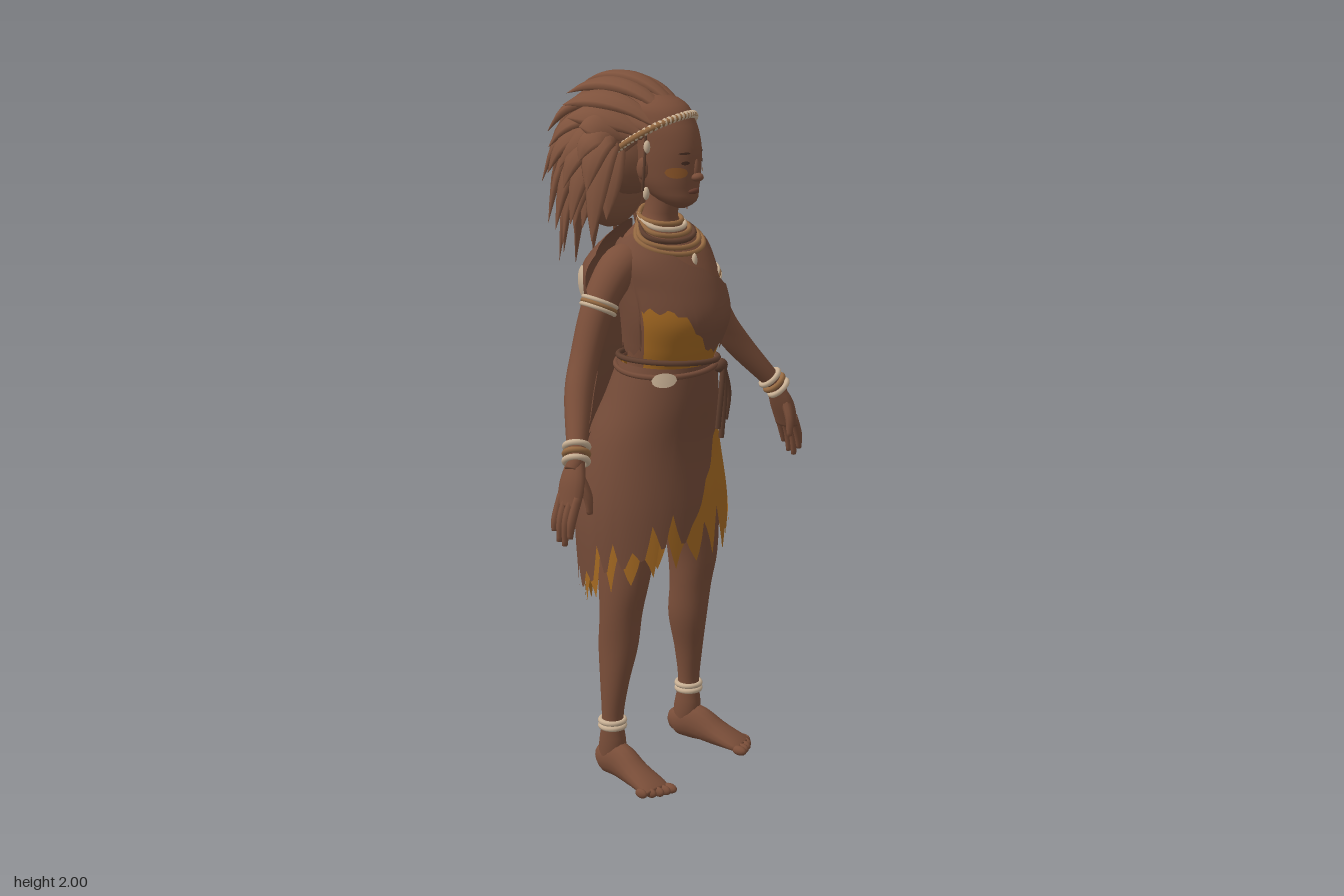
import * as THREE from 'three';

const mat = (name, color, side = THREE.FrontSide) => {
  const m = new THREE.MeshStandardMaterial({ color, side });
  m.name = name;
  return m;
};
const V = (x, y, z) => new THREE.Vector3(x, y, z);
const RAD = Math.PI / 180;
const sin = a => Math.sin(a * RAD), cos = a => Math.cos(a * RAD);

// Surface through rows of points, counter-clockwise around the direction of travel
function grid(rows, closed) {
  const n = rows[0].length, index = [];
  for (let i = 0; i < rows.length - 1; i++)
    for (let j = 0; j < (closed ? n : n - 1); j++) {
      const k = (j + 1) % n, a = i * n + j, b = i * n + k, c = a + n, d = b + n;
      index.push(a, b, c, b, d, c);
    }
  const g = new THREE.BufferGeometry().setFromPoints(rows.flat());
  g.setIndex(index);
  g.computeVertexNormals();
  return g;
}

// Smooth interpolation of rows [key, ...values]
function track(rows) {
  const n = rows[0].length - 1;
  const f = new THREE.CubicInterpolant(rows.map(r => r[0]), rows.flatMap(r => r.slice(1)), n, new Float32Array(n));
  return t => Array.from(f.evaluate(t));
}

// Point on a body of stacked ellipses [y, cx, cz, rx, rz]; angle 0 is front, 90 is left
const around = (body, a, y, out = 0) => {
  const [cx, cz, rx, rz] = body(y);
  return V(cx + (rx + out) * sin(a), y, cz + (rz + out) * cos(a));
};

// Skin or cloth following such a body, with edges given per angle
function wrap(body, lo, hi, { from = -180, to = 180, out = 0, rows = 24, step = 3 } = {}) {
  const closed = to - from === 360, cols = Math.round((to - from) / step), pts = [];
  const val = (f, a) => (typeof f === 'function' ? f(a) : f);
  for (let i = 0; i <= rows; i++) {
    pts.push([]);
    for (let j = 0; j < cols + (closed ? 0 : 1); j++) {
      const a = from + (to - from) * j / cols;
      pts[i].push(around(body, a, THREE.MathUtils.lerp(val(lo, a), val(hi, a), i / rows), out));
    }
  }
  return grid(pts, closed);
}

// Small oval plate lying on a body
const patch = (body, a, y, da, dy, out) => {
  const h = t => dy * Math.sqrt(Math.max(0, 1 - ((t - a) / da) ** 2));
  return wrap(body, t => y - h(t), t => y + h(t), { from: a - da, to: a + da, out, rows: 6, step: da / 6 });
};

// Closed tube through [x, y, z, halfWidth, halfHeight]
function sweep(pts, up, steps = 20, sides = 14) {
  const f = track(pts.map((p, i) => [i, ...p])), last = pts.length - 1, rows = [];
  const at = t => V(...f(t).slice(0, 3));
  for (let i = 0; i <= steps; i++) {
    const t = last * i / steps, p = at(t), [, , , w, h] = f(t);
    const T = at(Math.min(last, t + 0.05)).sub(at(Math.max(0, t - 0.05))).normalize();
    const side = up.clone().cross(T).normalize(), n = T.clone().cross(side);
    const ring = k => Array.from({ length: sides }, (_, j) => {
      const a = 2 * Math.PI * j / sides;
      return p.clone().addScaledVector(side, k * w * Math.cos(a)).addScaledVector(n, k * h * Math.sin(a));
    });
    if (i === 0) rows.push(ring(0));
    rows.push(ring(1));
    if (i === steps) rows.push(ring(0));
  }
  return grid(rows, true);
}

// Uneven torn edge
const teeth = (a, period, amp) => {
  const u = ((a / period) % 1 + 1) % 1;
  return amp * Math.abs(2 * u - 1) * (0.7 + 0.3 * Math.sin(a * 0.13));
};

export function createModel() {
  const model = new THREE.Group();
  const skin = mat('skin', 0x7a4e39), hair = mat('hair', 0x7e523c), eye = mat('eye', 0x4a2f23), lip = mat('lip', 0x6b3f30);
  const hide = mat('hide', 0x744b38, THREE.DoubleSide), ochre = mat('ochre', 0xa66a22, THREE.DoubleSide);
  const bone = mat('bone', 0xc9b195, THREE.DoubleSide), cord = mat('cord', 0x5f3f2f), bead = mat('bead', 0x966a42);
  const paint = mat('facePaint', 0x92592a);
  const add = (name, geo, m) => {
    const mesh = new THREE.Mesh(geo, m);
    mesh.name = name;
    model.add(mesh);
    return mesh;
  };
  const ball = (name, m, p, r) => {
    const b = add(name, new THREE.SphereGeometry(1, 18, 12), m);
    b.position.set(...p);
    b.scale.set(...r);
  };
  const band = (name, m, p, dir, r, tube) => {
    const b = add(name, new THREE.TorusGeometry(r, tube, 8, 28), m);
    b.position.copy(p);
    b.quaternion.setFromUnitVectors(V(0, 0, 1), dir.clone().normalize());
  };
  const rope = (name, m, pts, r, closed = false) =>
    add(name, new THREE.TubeGeometry(new THREE.CatmullRomCurve3(pts, closed), 60, r, 7, closed), m);
  const loop = (body, out, yAt) => Array.from({ length: 24 }, (_, i) => around(body, i * 15, yAt(i * 15), out));

  // Torso and neck
  const torso = track([[0.95, 0, 0.07, 0.17, 0.12], [1.08, 0, 0.085, 0.155, 0.125], [1.2, 0, 0.11, 0.12, 0.11],
    [1.27, 0, 0.125, 0.133, 0.122], [1.35, 0, 0.135, 0.148, 0.135], [1.44, 0, 0.115, 0.152, 0.125],
    [1.52, 0, 0.088, 0.15, 0.1], [1.565, 0, 0.073, 0.112, 0.075], [1.6, 0, 0.075, 0.058, 0.055],
    [1.64, 0, 0.085, 0.045, 0.047], [1.72, 0, 0.09, 0.043, 0.045]]);
  add('torso', wrap(torso, 0.95, 1.72, { rows: 50, step: 6 }), skin);

  // Head and face
  const head = track([[1.645, 0, 0.15, 0.012, 0.015], [1.66, 0, 0.142, 0.04, 0.05], [1.7, 0, 0.115, 0.066, 0.085],
    [1.76, 0, 0.1, 0.079, 0.105], [1.82, 0, 0.093, 0.083, 0.11], [1.88, 0, 0.083, 0.08, 0.098],
    [1.93, 0, 0.068, 0.06, 0.072], [1.955, 0, 0.06, 0.01, 0.012]]);
  add('head', wrap(head, 1.645, 1.955, { rows: 30, step: 6 }), skin);
  ball('noseBridge', skin, [0, 1.758, 0.2], [0.01, 0.03, 0.012]);
  ball('nose', skin, [0, 1.735, 0.207], [0.018, 0.012, 0.018]);
  ball('mouth', lip, [0, 1.696, 0.192], [0.023, 0.01, 0.014]);
  for (const s of [1, -1]) {
    add('eye', patch(head, 26 * s, 1.776, 8, 0.005, 0.002), eye);
    add('brow', patch(head, 27 * s, 1.802, 11, 0.003, 0.002), eye);
    add('cheekPaint', patch(head, 42 * s, 1.75, 20, 0.015, 0.003), paint);
    ball('ear', skin, [0.082 * s, 1.755, 0.085], [0.012, 0.03, 0.018]);
    ball('earring', bone, [0.085 * s, 1.69, 0.1], [0.009, 0.018, 0.009]);
    rope('hairString', cord, [V(0.1 * s, 1.85, 0.11), V(0.105 * s, 1.77, 0.11), V(0.1 * s, 1.7, 0.1)], 0.004);
    ball('hairCharm', bone, [0.1 * s, 1.82, 0.115], [0.009, 0.018, 0.009]);
  }

  // Hair: an inner mass under fans of leaf-shaped locks
  ball('hairMass', hair, [0, 1.8, -0.03], [0.125, 0.14, 0.13]);
  ball('hairMassLow', hair, [0, 1.67, -0.09], [0.11, 0.11, 0.07]);
  // [count, half span, tip y, tip rx, tip rz, control y, control reach]
  const layers = [[9, 82, 1.935, 0.18, 0.18, 2.04, 0.1], [10, 90, 1.83, 0.21, 0.235, 2.04, 0.5],
    [11, 98, 1.71, 0.222, 0.25, 2.03, 0.65], [12, 100, 1.585, 0.21, 0.235, 2.01, 0.8],
    [9, 78, 1.45, 0.19, 0.195, 1.97, 0.9], [8, 104, 1.6, 0.15, 0.17, 1.94, 0.8]];
  layers.forEach(([n, span, y, rx, rz, cy, reach], k) => {
    for (let i = 0; i < n; i++) {
      const a = span * (2 * i / (n - 1) - 1), s = sin(a), c = cos(a);
      const jag = 0.02 * Math.sin(i * 2.4 + k * 1.7);
      const root = V(0.1 * s, 1.91 - 0.08 * s * s, 0.05 + 0.09 * c);
      const tip = V(rx * s, y - 0.07 * s * s * (k < 2) + 0.16 * (1 - c) * (k === 4) + jag * (k > 0), -0.03 - rz * c);
      const ctrl = V(tip.x * 0.86, cy - 0.16 * s * s, tip.z * reach);
      const curve = new THREE.QuadraticBezierCurve3(root, ctrl, tip);
      const up = curve.getPoint(0.6).sub(V(0, 1.76, 0)).normalize();
      const pts = [0.3, 0.65, 0.95, 1.05, 0.8, 0.03].map((w, j) =>
        [...curve.getPoint(j / 5).toArray(), 0.037 * w, 0.015 * w]);
      add('hairLock', sweep(pts, up, 14, 8), hair);
    }
  });

  // Beaded headband
  const brow = new THREE.CatmullRomCurve3([V(-0.125, 1.8, 0.02), V(-0.112, 1.845, 0.085), V(-0.065, 1.885, 0.148),
    V(0, 1.9, 0.175), V(0.065, 1.885, 0.148), V(0.112, 1.845, 0.085), V(0.125, 1.8, 0.02)]);
  add('headband', new THREE.TubeGeometry(brow, 40, 0.009, 8), bead);
  for (let i = 0; i <= 36; i++) ball('headbandBead', bone, brow.getPoint(i / 36).toArray(), [0.007, 0.011, 0.01]);

  // Necklaces lying on the neck and chest
  [bead, bone, bead, cord, bead, bead].forEach((m, k) =>
    rope('necklace', m, loop(torso, 0.008, a => 1.61 - 0.006 * k - (0.01 + 0.009 * k) * cos(a)), 0.007, true));
  ball('pendant', bone, [0, 1.505, 0.2], [0.008, 0.02, 0.008]);

  for (const s of [1, -1]) {
    // Arm and hand
    const arm = [[0.08, 1.505, 0.07, 0.045, 0.05], [0.15, 1.495, 0.062, 0.053, 0.057], [0.228, 1.4, 0.053, 0.046, 0.047],
      [0.295, 1.27, 0.06, 0.04, 0.041], [0.352, 1.18, 0.085, 0.038, 0.038], [0.44, 1.055, 0.152, 0.025, 0.026],
      [0.462, 1.015, 0.16, 0.022, 0.022]];
    add('arm', sweep(arm.map(([x, ...r]) => [x * s, ...r]), V(0, 0, 1), 40, 20), skin);
    const out = V(1, 0, 0);
    add('palm', sweep([[0.445 * s, 1.04, 0.155, 0.026, 0.021], [0.468 * s, 0.985, 0.163, 0.04, 0.023],
      [0.49 * s, 0.92, 0.165, 0.038, 0.016]], out), skin);
    for (let i = 0; i < 4; i++) {
      const z = 0.193 - i * 0.0185, end = [0.845, 0.822, 0.83, 0.856][i];
      add('finger', sweep([[0.483 * s, 0.95, z, 0.011, 0.013], [0.508 * s, 0.89, z, 0.011, 0.013],
        [0.515 * s, end, z, 0.007, 0.008]], out, 10, 8), skin);
    }
    add('thumb', sweep([[0.462 * s, 1.0, 0.18, 0.016, 0.016], [0.453 * s, 0.95, 0.202, 0.013, 0.013],
      [0.448 * s, 0.9, 0.205, 0.008, 0.008]], out, 10, 8), skin);

    // Leg and foot
    const leg = track([[0.03, 0.17, 0.04, 0.03, 0.035], [0.1, 0.172, 0.05, 0.034, 0.042], [0.17, 0.175, 0.052, 0.031, 0.031],
      [0.28, 0.17, 0.055, 0.037, 0.042], [0.4, 0.158, 0.06, 0.05, 0.06], [0.5, 0.158, 0.07, 0.056, 0.063],
      [0.6, 0.155, 0.078, 0.062, 0.078], [0.75, 0.135, 0.08, 0.08, 0.09], [0.98, 0.1, 0.075, 0.085, 0.11]]
      .map(([y, x, ...r]) => [y, x * s, ...r]));
    add('leg', wrap(leg, 0.03, 0.98, { rows: 40, step: 12 }), skin);
    add('foot', sweep([[0.165 * s, 0.035, -0.005, 0.015, 0.022], [0.168 * s, 0.045, 0.02, 0.032, 0.044],
      [0.175 * s, 0.056, 0.08, 0.036, 0.055], [0.186 * s, 0.036, 0.15, 0.043, 0.036],
      [0.196 * s, 0.02, 0.215, 0.048, 0.02], [0.2 * s, 0.014, 0.24, 0.042, 0.012]], V(0, 1, 0)), skin);
    for (let i = 0; i < 5; i++)
      ball('toe', skin, [(0.163 + i * 0.0195) * s, 0.014, 0.252 - i * i * 0.0025], [i ? 0.01 : 0.014, 0.014, i ? 0.02 : 0.024]);

    // Bands on arm, wrist and ankle
    const upper = V(0.065 * s, -0.13, -0.01), fore = V(0.085 * s, -0.125, 0.067);
    [[-0.009, bone], [0, bead], [0.009, bone]].forEach(([d, m]) =>
      band('armBand', m, V((0.228 - d * 0.5) * s, 1.4 + d, 0.053), upper, 0.047, 0.006));
    [[-0.02, bone], [-0.004, bead], [0.012, bone]].forEach(([d, m]) =>
      band('wristBand', m, V((0.438 - d * 0.65) * s, 1.058 + d, 0.151 - d * 0.5), fore, 0.031, 0.0085));
    [0.157, 0.173].forEach(y => band('ankleBand', bone, V(0.175 * s, y, 0.052), V(0, 1, 0), 0.034, 0.008));
  }

  // Wrapped top, hung from the right shoulder, over an ochre lining
  add('topLining', wrap(torso, 1.2, a => 1.4 - 0.05 * sin(a), { from: -85, to: 60, out: 0.006 }), ochre);
  add('wrappedTop', wrap(torso, a => 1.25 + (a > -85 ? 0.13 * THREE.MathUtils.clamp(-(a + 2) / 45, 0, 1) : 0) + teeth(a, 18, 0.025),
    a => 1.48 - 0.09 * sin(a) + teeth(a, 24, 0.012), { out: 0.012, rows: 30 }), hide);

  // Skirt layers with torn hems
  const skirt = track([[0.45, 0, 0.065, 0.225, 0.165], [0.6, 0, 0.065, 0.232, 0.18], [0.8, 0, 0.055, 0.228, 0.183],
    [1.0, 0, 0.063, 0.188, 0.155], [1.12, 0, 0.09, 0.15, 0.135], [1.23, 0, 0.11, 0.12, 0.116]]);
  add('skirt', wrap(skirt, a => 0.66 - 0.09 * (1 - cos(a)) + teeth(a, 18, 0.15), 1.21), ochre);
  add('skirtPanels', wrap(skirt, a => 0.71 - 0.05 * (1 - cos(a)) + teeth(a + 9, 24, 0.16), 1.2,
    { from: 20, to: 236, out: 0.01 }), ochre);
  add('hipWrap', wrap(skirt, a => 1.0 + teeth(a, 24, 0.06) + 0.14 * Math.max(0, (85 - a) / 45), 1.22,
    { from: 55, to: 235, out: 0.016 }), hide);
  add('skirtOverlay', wrap(skirt, a => (a > -18 ? 0.74 + 0.42 * (a + 18) / 60 : 0.61 + 0.11 * cos(a)) + teeth(a, 15, a > -18 ? 0.03 : 0.12),
    1.22, { from: -126, to: 42, out: 0.016 }), hide);

  // Back cape, narrowing to a rounded tail
  const cape = track([[0.65, 0, 0.06, 0.255, 0.212], [0.8, 0, 0.06, 0.255, 0.208], [1.0, 0, 0.065, 0.22, 0.185],
    [1.2, 0, 0.065, 0.215, 0.16], [1.35, 0, 0.065, 0.23, 0.15], [1.5, 0, 0.06, 0.265, 0.13],
    [1.56, 0, 0.06, 0.2, 0.095], [1.6, 0, 0.06, 0.12, 0.06]]);
  add('cape', wrap(cape, a => 0.71 + 0.4 * ((a + 174) / 65) ** 2 + teeth(a, 12, 0.05),
    a => (a < -165 ? 1.6 - 0.18 * ((a + 165) / 45) ** 2 : 1.6 - 0.06 * ((a + 165) / 65) ** 2), { from: -213, to: -99, rows: 40 }), hide);
  add('shoulderPatch', patch(cape, -110, 1.465, 10, 0.045, 0.006), bone);
  add('capePatch', patch(cape, -170, 0.87, 5, 0.025, 0.006), bone);
  add('waistPatch', patch(skirt, -52, 1.193, 13, 0.02, 0.03), bone);

  // Rope belt, knot and hanging cords
  rope('belt', cord, loop(skirt, 0.02, a => 1.222 - 0.016 * sin(a - 20)), 0.008, true);
  rope('beltLower', hide, loop(skirt, 0.018, a => 1.207 + 0.01 * sin(a - 20)), 0.008, true);
  ball('beltKnot', cord, [0.075, 1.2, 0.235], [0.024, 0.02, 0.018]);
  [[0.066, 1.02], [0.082, 0.99], [0.1, 1.04]].forEach(([x, y]) =>
    rope('beltCord', cord, [V(0.075, 1.2, 0.245), V(x, 1.12, 0.245), V(x, y, 0.235)], 0.008));
  return model;
}
